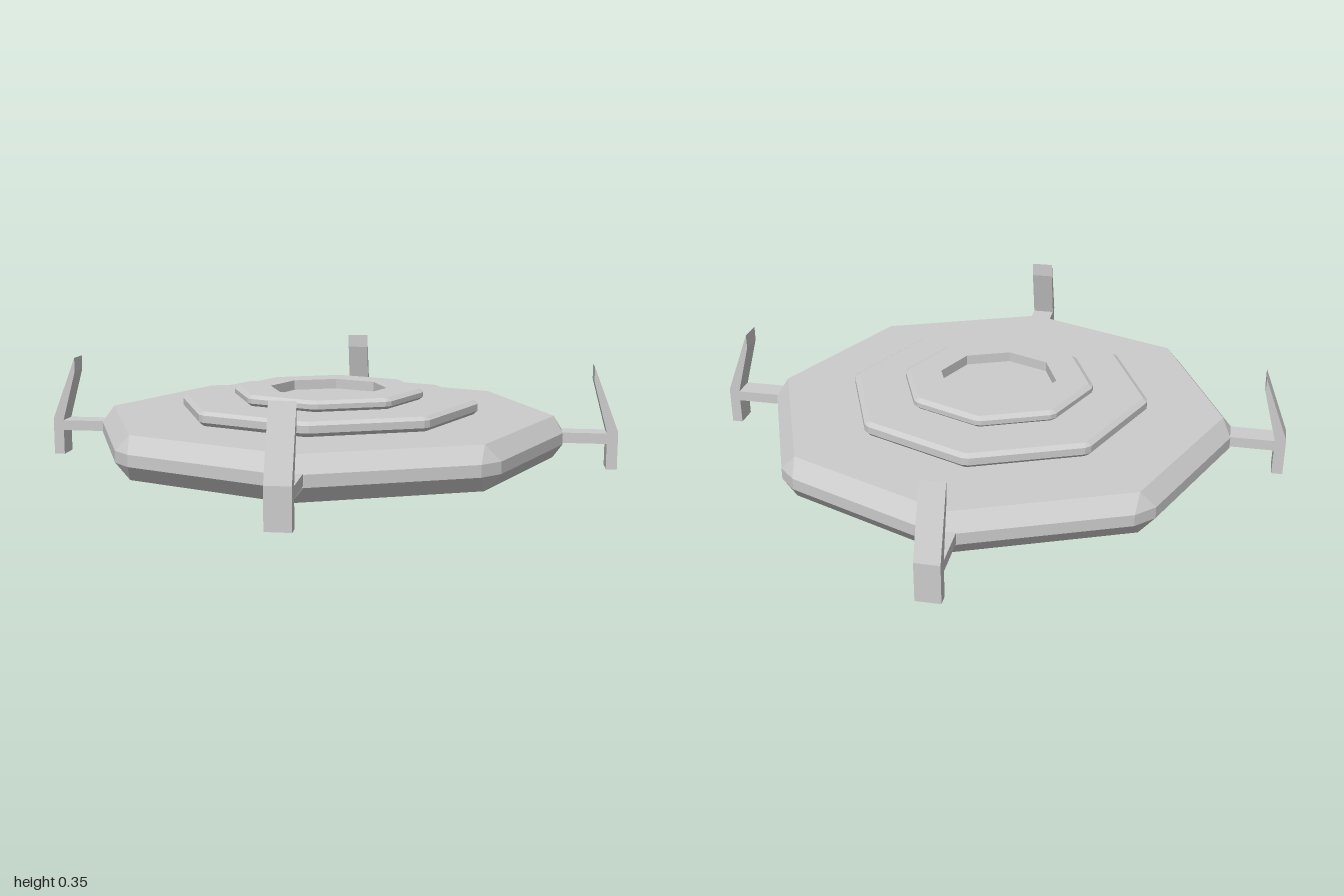
import * as THREE from 'three';

const material = new THREE.MeshStandardMaterial({ color: 0xcccccc, flatShading: true });

// Octagon ring with corners on the axes; c is half the width of each cut corner
function ring([r, c, y]) {
  const points = [];
  for (let k = 0; k < 8; k++) {
    const a = k * Math.PI / 4, s = Math.sin(a), t = Math.cos(a);
    for (const e of [-c, c]) points.push(new THREE.Vector3(r * s + e * t, y, r * t - e * s));
  }
  return points;
}

// Faceted solid through a list of [radius, corner cut, height] rings
function octagonLoft(name, profile) {
  const rings = profile.map(ring), positions = [];
  const tri = (a, b, c) => {
    const area = b.clone().sub(a).cross(c.clone().sub(a)).length();
    if (area > 1e-9) for (const p of [a, b, c]) positions.push(p.x, p.y, p.z);
  };
  for (let j = 0; j < rings.length - 1; j++) {
    const lo = rings[j], hi = rings[j + 1];
    for (let i = 0; i < 16; i++) {
      const n = (i + 1) % 16;
      tri(lo[i], lo[n], hi[n]);
      tri(lo[i], hi[n], hi[i]);
    }
  }
  const geometry = new THREE.BufferGeometry();
  geometry.setAttribute('position', new THREE.Float32BufferAttribute(positions, 3));
  geometry.computeVertexNormals();
  const mesh = new THREE.Mesh(geometry, material);
  mesh.name = name;
  return mesh;
}

// Side outline of an upright part, extruded across the arm's width
function armPart(name, outline, width) {
  const shape = new THREE.Shape(outline.map(([x, y]) => new THREE.Vector2(x, y)));
  const geometry = new THREE.ExtrudeGeometry(shape, { depth: width, bevelEnabled: false });
  geometry.translate(0, 0, -width / 2);
  const mesh = new THREE.Mesh(geometry, material);
  mesh.name = name;
  return mesh;
}

export function createModel() {
  const model = new THREE.Group();
  model.name = 'octagonalPlatform';

  // Wide base slab with bevelled rim
  model.add(octagonLoft('baseSlab', [
    [0, 0, 0.03], [0.785, 0, 0.03], [0.815, 0.042, 0.083],
    [0.815, 0.042, 0.122], [0.785, 0, 0.175], [0, 0, 0.175],
  ]));

  // Middle step
  model.add(octagonLoft('middleStep', [
    [0.508, 0.004, 0.172], [0.523, 0.012, 0.188], [0.523, 0.012, 0.212],
    [0.508, 0.004, 0.223], [0, 0, 0.223],
  ]));

  // Top step with a sunken centre
  model.add(octagonLoft('topStep', [
    [0.318, 0.004, 0.22], [0.333, 0.012, 0.233], [0.333, 0.012, 0.249],
    [0.318, 0.004, 0.26], [0.206, 0, 0.26], [0.206, 0, 0.225], [0, 0, 0.225],
  ]));

  // Four arms, each with a strut, a foot and an inward-leaning prong
  for (let k = 0; k < 4; k++) {
    const arm = new THREE.Group();
    arm.name = 'arm' + (k + 1);
    arm.add(armPart('strut', [[0.75, 0.088], [0.965, 0.088], [0.965, 0.124], [0.75, 0.124]], 0.08));
    arm.add(armPart('footAndProng', [
      [0.963, 0], [1, 0], [1, 0.13], [0.915, 0.352], [0.915, 0.302], [0.963, 0.124],
    ], 0.08));
    arm.rotation.y = k * Math.PI / 2;
    model.add(arm);
  }
  return model;
}
